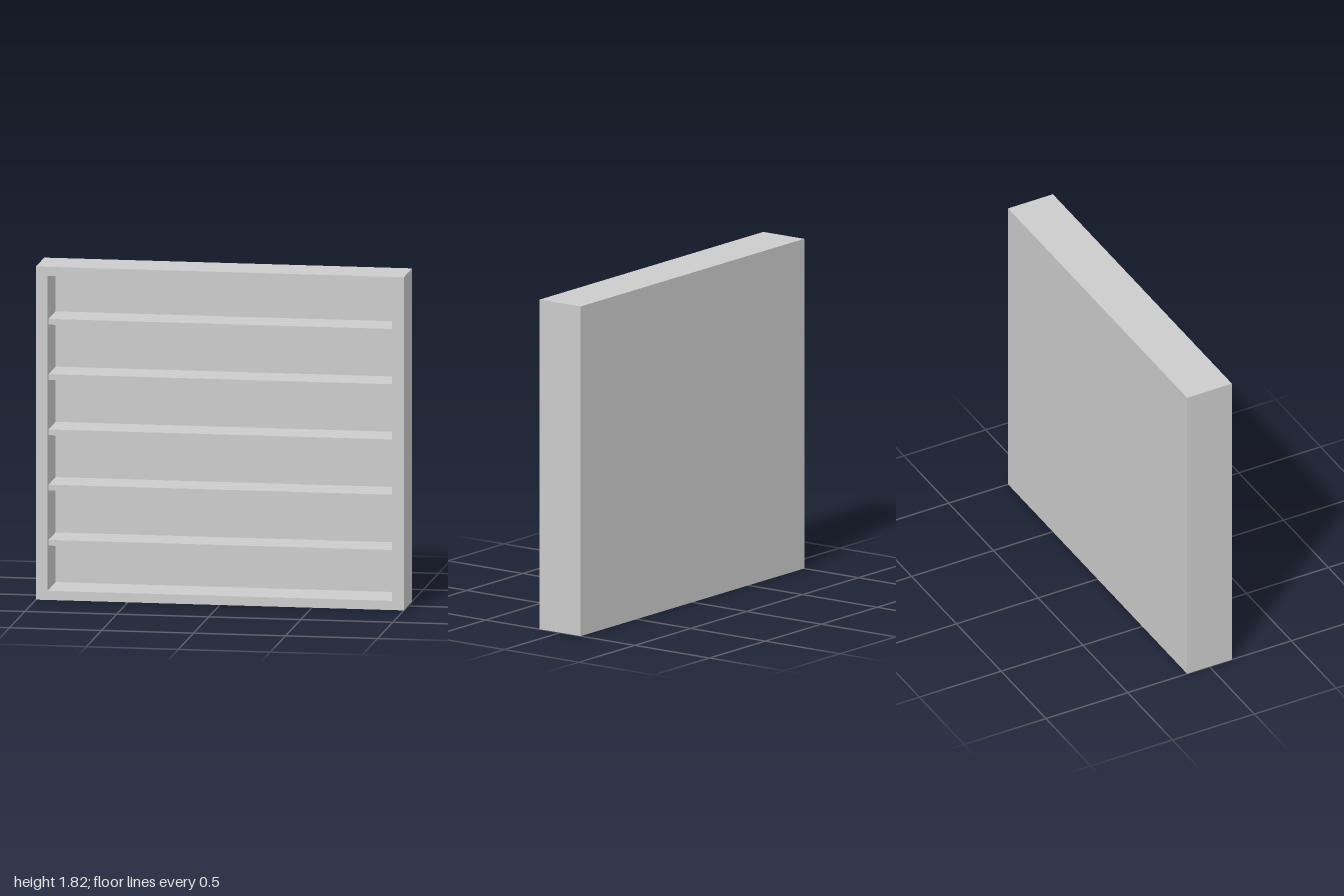
import * as THREE from 'three';

const W = 2, H = 1.815, D = 0.274;   // outer size
const SIDE = 0.063, RAIL = 0.05;     // frame thickness
const BACK = 0.006;                  // back panel thickness

export function createModel() {
  const group = new THREE.Group();
  const material = new THREE.MeshStandardMaterial({ color: 0xcccccc, flatShading: true });

  // Frame: rectangle with an opening, extruded through the depth
  const outline = new THREE.Shape([
    new THREE.Vector2(-W / 2, 0), new THREE.Vector2(W / 2, 0),
    new THREE.Vector2(W / 2, H), new THREE.Vector2(-W / 2, H),
  ]);
  const x = W / 2 - SIDE;
  outline.holes.push(new THREE.Path([
    new THREE.Vector2(-x, RAIL), new THREE.Vector2(-x, H - RAIL),
    new THREE.Vector2(x, H - RAIL), new THREE.Vector2(x, RAIL),
  ]));
  const frameGeometry = new THREE.ExtrudeGeometry(outline, { depth: D, bevelEnabled: false });
  frameGeometry.translate(0, 0, -D / 2);
  const frame = new THREE.Mesh(frameGeometry, material);
  frame.name = 'frame';
  group.add(frame);

  // Thin back panel closing the opening
  const back = new THREE.Mesh(new THREE.BoxGeometry(2 * x, H - 2 * RAIL, BACK), material);
  back.name = 'backPanel';
  back.position.set(0, H / 2, -D / 2 + BACK / 2);
  group.add(back);

  // Five evenly spaced shelves, set back slightly from the frame front
  const shelfFront = D / 2 - 0.035, shelfBack = -D / 2 + BACK;
  const shelfGeometry = new THREE.BoxGeometry(2 * x, 0.031, shelfFront - shelfBack);
  for (let i = 0; i < 5; i++) {
    const shelf = new THREE.Mesh(shelfGeometry, material);
    shelf.name = `shelf${i + 1}`;
    shelf.position.set(0, H / 2 + (i - 2) * 0.301, (shelfFront + shelfBack) / 2);
    group.add(shelf);
  }
  return group;
}
